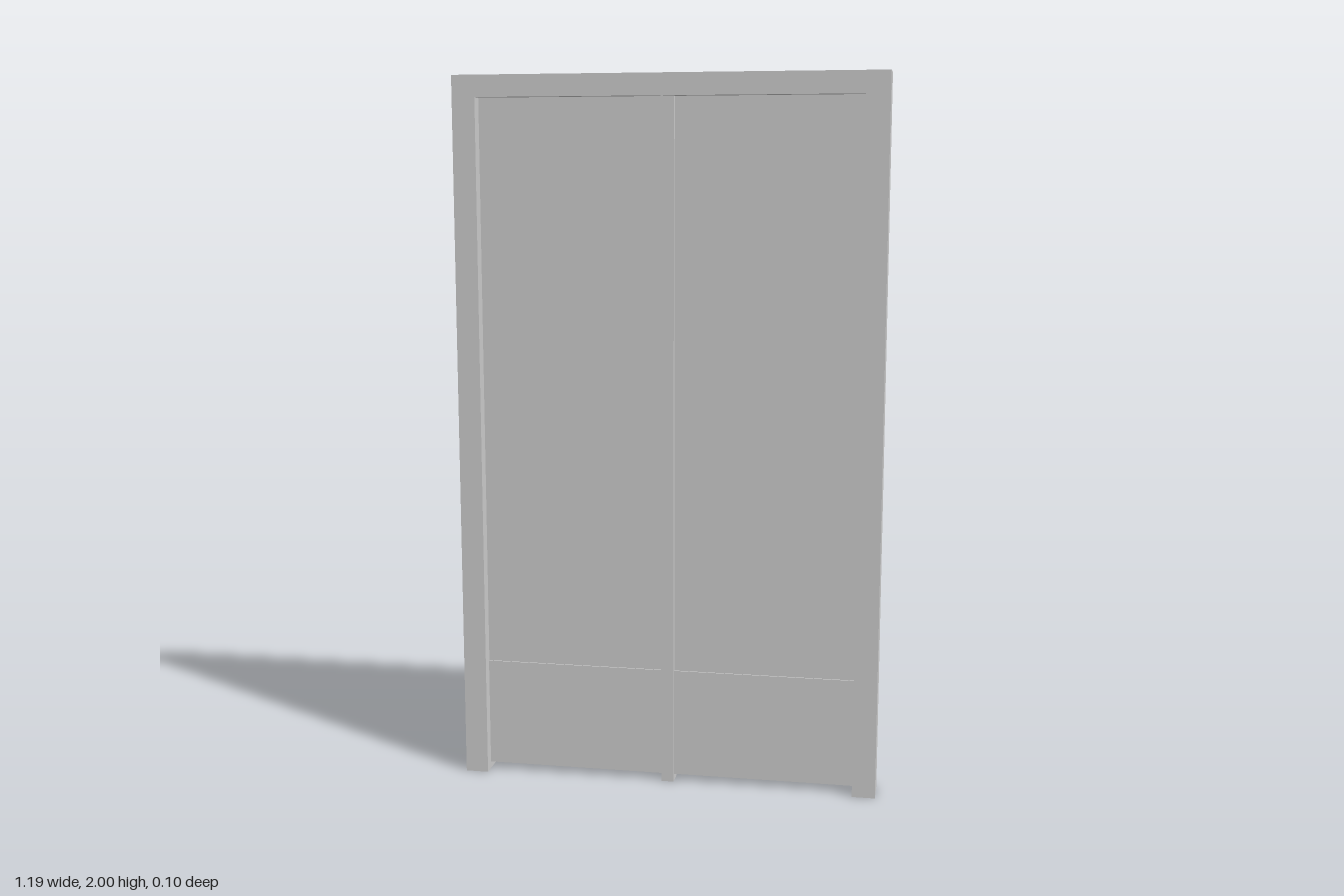
import * as THREE from 'three';

const material = new THREE.MeshStandardMaterial({ color: 0xcccccc, flatShading: true });

// Box given by its limits along each axis
function box(name, [x0, x1], [y0, y1], [z0, z1]) {
  const mesh = new THREE.Mesh(new THREE.BoxGeometry(x1 - x0, y1 - y0, z1 - z0), material);
  mesh.position.set((x0 + x1) / 2, (y0 + y1) / 2, (z0 + z1) / 2);
  mesh.name = name;
  return mesh;
}

export function createModel() {
  const group = new THREE.Group();
  group.name = 'doubleDoor';

  const outer = 0.597, inner = 0.532, top = 2, opening = 1.94;
  const mullionHalf = 0.018, panelBottom = 0.02, kickTop = 0.33;
  const back = -0.043, front = 0.048;

  // Surrounding frame: two jambs and a header in one outline
  const outline = new THREE.Shape([
    [-outer, 0], [-inner, 0], [-inner, opening], [inner, opening],
    [inner, 0], [outer, 0], [outer, top], [-outer, top],
  ].map(([x, y]) => new THREE.Vector2(x, y)));
  const frame = new THREE.Mesh(
    new THREE.ExtrudeGeometry(outline, { depth: front - back, bevelEnabled: false }), material);
  frame.position.z = back;
  frame.name = 'frame';
  group.add(frame);

  // Centre post, set back from the frame faces
  group.add(box('centrePost', [-mullionHalf, mullionHalf], [0, opening], [-0.021, 0.026]));

  // Two leaves, each a thin panel above a slightly thicker kick plate
  for (const [side, x] of [['right', [-inner, -mullionHalf]], ['left', [mullionHalf, inner]]]) {
    group.add(box(`${side}Panel`, x, [kickTop, opening], [-0.008, 0.012]));
    group.add(box(`${side}KickPlate`, x, [panelBottom, kickTop], [-0.012, 0.016]));
  }

  // Push bar on the back of the right leaf
  group.add(box('pushBar', [-0.467, -0.095], [0.937, 0.974], [-0.052, -0.008]));

  return group;
}
